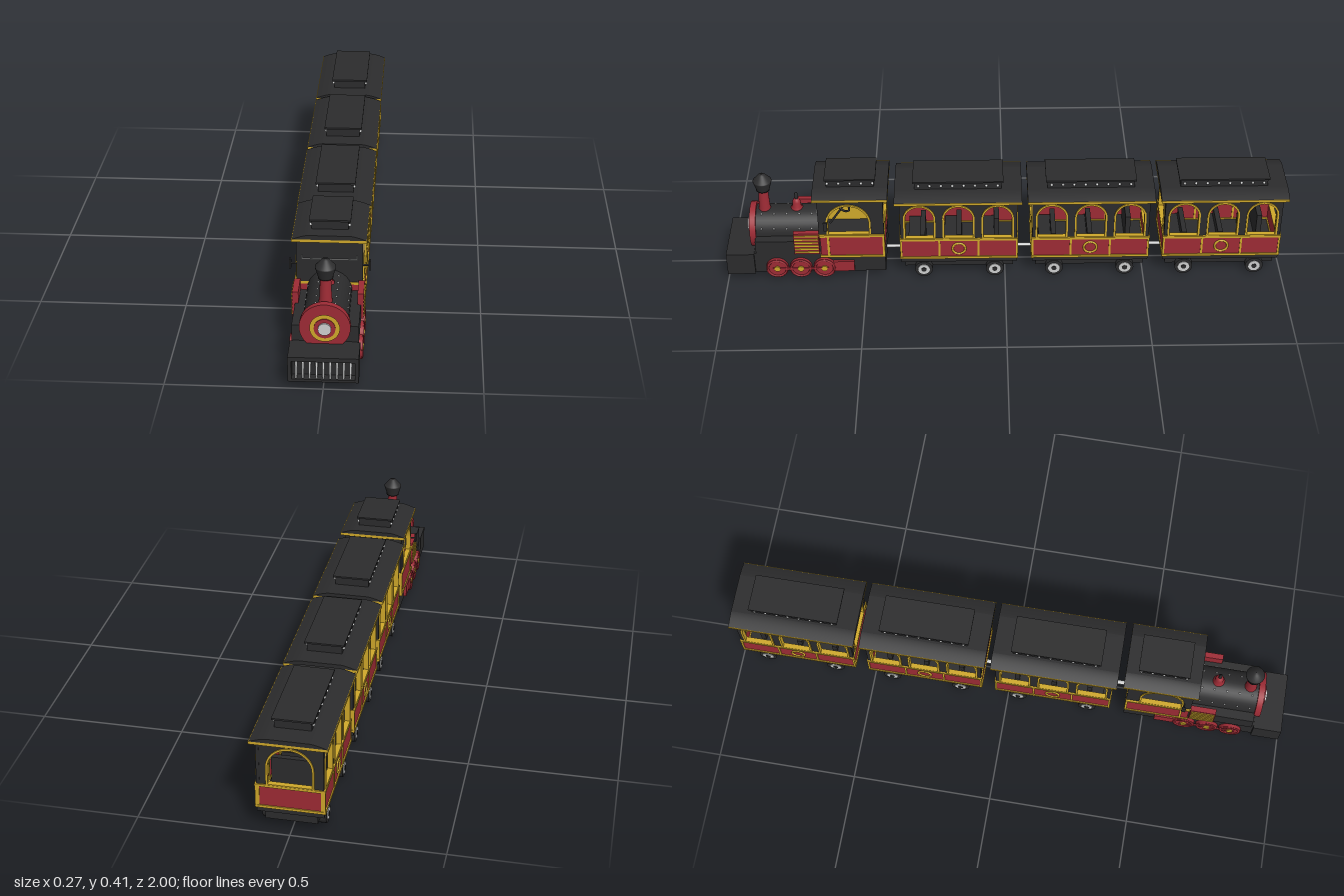
import * as THREE from 'three';

const mat = (name, color) => Object.assign(new THREE.MeshStandardMaterial({ color }), { name });
const black = mat('black', 0x2c2c2d), red = mat('red', 0x9e2b35), yellow = mat('yellow', 0xd0a92b),
  silver = mat('silver', 0xcfd0d0);

function add(parent, name, geo, material, x = 0, y = 0, z = 0) {
  const m = new THREE.Mesh(geo, material);
  m.name = name;
  m.position.set(x, y, z);
  parent.add(m);
  return m;
}
// Box given by its centre x/z, bottom and top y
function box(parent, name, material, w, d, y0, y1, x = 0, z = 0) {
  return add(parent, name, new THREE.BoxGeometry(w, y1 - y0, d), material, x, (y0 + y1) / 2, z);
}
// Disc or drum with its axis along x or z
function drum(parent, name, material, r, len, axis, x, y, z, sides = 32) {
  const g = new THREE.CylinderGeometry(r, r, len, sides);
  if (axis === 'x') g.rotateZ(Math.PI / 2); else g.rotateX(Math.PI / 2);
  return add(parent, name, g, material, x, y, z);
}
function arch(Type, c, hw, y0, top) {
  const s = new Type();
  s.moveTo(c - hw, y0);
  s.lineTo(c + hw, y0);
  s.lineTo(c + hw, top - hw);
  s.absarc(c, top - hw, hw, 0, Math.PI, false);
  s.lineTo(c - hw, y0);
  return s;
}
function extrude(shape, depth) {
  const g = new THREE.ExtrudeGeometry(shape, { depth, bevelEnabled: false, curveSegments: 16 });
  return g.translate(0, 0, -depth / 2);
}
// Wall with arched openings, each lined by a yellow frame
function archWall(parent, half, y0, y1, centres, hw, top, x, z, side) {
  const g = new THREE.Group();
  g.name = 'archedWall';
  const s = new THREE.Shape();
  s.moveTo(-half, y0); s.lineTo(half, y0); s.lineTo(half, y1); s.lineTo(-half, y1); s.closePath();
  for (const c of centres) {
    s.holes.push(arch(THREE.Path, c, hw, y0 + 0.002, top));
    const frame = arch(THREE.Shape, c, hw, y0 + 0.002, top);
    frame.holes.push(arch(THREE.Path, c, hw - 0.007, y0 + 0.006, top - 0.007));
    add(g, 'windowFrame', extrude(frame, 0.018), yellow);
  }
  add(g, 'upperWall', extrude(s, 0.01), black);
  g.position.set(x, 0, z);
  if (side) g.rotation.y = Math.PI / 2;
  parent.add(g);
}
// Vaulted roof, yellow eave and raised riveted lantern
function roof(parent, y, hw, length, lanternLength) {
  box(parent, 'eaveTrim', yellow, hw * 2, length, y, y + 0.01);
  const s = new THREE.Shape();
  s.moveTo(-hw + 0.002, y + 0.01);
  s.lineTo(hw - 0.002, y + 0.01);
  s.quadraticCurveTo(hw * 0.72, y + 0.023, 0.07, y + 0.025);
  s.lineTo(-0.07, y + 0.025);
  s.quadraticCurveTo(-hw * 0.72, y + 0.023, -hw + 0.002, y + 0.01);
  add(parent, 'roof', extrude(s, length), black);
  box(parent, 'lantern', black, 0.12, lanternLength - 0.012, y + 0.02, y + 0.055);
  box(parent, 'lanternTop', black, 0.135, lanternLength, y + 0.054, y + 0.06);
  const n = Math.round(lanternLength / 0.04);
  for (let i = 0; i < n; i++) for (const sx of [-1, 1])
    add(parent, 'lanternLamp', new THREE.SphereGeometry(0.005, 8, 6), silver,
      sx * 0.063, y + 0.04, (i - (n - 1) / 2) * 0.04);
}

function carriage(zc) {
  const g = new THREE.Group();
  g.name = 'carriage';
  g.position.z = zc;
  box(g, 'underframe', black, 0.17, 0.39, 0.035, 0.075);
  box(g, 'floor', black, 0.218, 0.416, 0.07, 0.09);
  for (const sx of [-1, 1]) {
    // Side panel with trim, badge and arched windows
    const x = sx * 0.106;
    box(g, 'sidePanel', red, 0.008, 0.416, 0.088, 0.17, x);
    for (const y of [0.086, 0.166]) box(g, 'sideTrim', yellow, 0.016, 0.422, y, y + 0.009, x);
    for (const z of [-0.207, -0.07, 0.07, 0.207]) box(g, 'trimPost', yellow, 0.014, 0.007, 0.09, 0.17, x, z);
    const ring = new THREE.TorusGeometry(0.023, 0.004, 8, 24).rotateY(Math.PI / 2);
    add(g, 'badgeRing', ring, yellow, sx * 0.111, 0.13, 0);
    archWall(g, 0.208, 0.172, 0.332, [-0.139, 0, 0.139], 0.057, 0.32, sx * 0.103, 0, true);
    // Wheels
    for (const z of [-0.128, 0.128]) {
      drum(g, 'tyre', black, 0.032, 0.024, 'x', sx * 0.092, 0.032, z);
      drum(g, 'wheelRim', silver, 0.021, 0.003, 'x', sx * 0.105, 0.032, z);
      drum(g, 'wheelHub', black, 0.009, 0.005, 'x', sx * 0.106, 0.032, z, 16);
    }
  }
  for (const sz of [-1, 1]) {
    // End panel with trim and one wide arch
    box(g, 'endPanel', red, 0.21, 0.008, 0.088, 0.17, 0, sz * 0.204);
    for (const y of [0.086, 0.166]) box(g, 'endTrim', yellow, 0.222, 0.016, y, y + 0.009, 0, sz * 0.204);
    archWall(g, 0.107, 0.172, 0.332, [0], 0.078, 0.318, 0, sz * 0.202, false);
  }
  // Benches
  for (const [z, top] of [[0.13, 0.165], [0, 0.165], [-0.135, 0.235]]) {
    box(g, 'benchSeat', black, 0.17, 0.055, 0.09, 0.13, 0, z + 0.025);
    box(g, 'benchBack', black, 0.15, 0.018, 0.09, top, 0, z);
  }
  roof(g, 0.331, 0.126, 0.45, 0.32);
  const bar = drum(g, 'coupling', silver, 0.005, 0.09, 'z', 0, 0.06, 0.235, 12);
  bar.scale.x = 1.6;
  return g;
}

function cab() {
  const g = new THREE.Group();
  g.name = 'cab';
  g.position.z = 0.545;
  box(g, 'cabFloor', black, 0.21, 0.23, 0.09, 0.105);
  for (const sx of [-1, 1]) {
    const x = sx * 0.107;
    box(g, 'cabSidePanel', red, 0.008, 0.226, 0.1, 0.19, x);
    box(g, 'cabLining', yellow, 0.004, 0.21, 0.105, 0.19, sx * 0.101);
    for (const y of [0.098, 0.188]) box(g, 'cabTrim', yellow, 0.016, 0.232, y, y + 0.009, x);
    for (const z of [-0.112, 0.085]) box(g, 'cabTrimPost', yellow, 0.014, 0.008, 0.1, 0.19, x, z);
    archWall(g, 0.115, 0.194, 0.347, [-0.01], 0.079, 0.328, sx * 0.103, 0, true);
    // Mirror on an arm
    drum(g, 'mirrorArm', black, 0.003, 0.03, 'x', sx * 0.118, 0.247, 0.09, 8);
    box(g, 'mirror', black, 0.006, 0.014, 0.23, 0.265, sx * 0.13, 0.09);
    box(g, 'railEnd', silver, 0.002, 0.003, 0.28, 0.295, sx * 0.089, 0.121);
  }
  box(g, 'cabFrontPanel', red, 0.212, 0.01, 0.1, 0.19, 0, 0.111);
  box(g, 'cabFrontTrim', yellow, 0.218, 0.016, 0.188, 0.197, 0, 0.11);
  box(g, 'cabFrontWall', black, 0.214, 0.01, 0.195, 0.347, 0, 0.112);
  box(g, 'frontRail', silver, 0.178, 0.003, 0.28, 0.282, 0, 0.121);
  box(g, 'cabRearPanel', red, 0.212, 0.008, 0.1, 0.19, 0, -0.11);
  box(g, 'cabRearTrim', yellow, 0.218, 0.014, 0.188, 0.197, 0, -0.11);
  archWall(g, 0.107, 0.194, 0.347, [0], 0.078, 0.328, 0, -0.108, false);
  // Steering column and wheel
  const column = add(g, 'steeringColumn', new THREE.CylinderGeometry(0.004, 0.004, 0.09, 8), black, 0, 0.205, 0.06);
  column.rotation.x = -0.6;
  const wheel = add(g, 'steeringWheel', new THREE.TorusGeometry(0.025, 0.004, 6, 20), black, 0, 0.242, 0.034);
  wheel.rotation.x = Math.PI / 2 - 0.6;
  roof(g, 0.346, 0.122, 0.265, 0.18);
  return g;
}

function engine() {
  const g = new THREE.Group();
  g.name = 'engine';
  box(g, 'chassis', black, 0.205, 0.5, 0.028, 0.11, 0, 0.68);
  box(g, 'runningBoard', black, 0.212, 0.235, 0.1, 0.165, 0, 0.775);
  // Front guard with slanted tapering bars
  box(g, 'guardBack', black, 0.222, 0.07, 0.025, 0.112, 0, 0.935);
  box(g, 'guardTop', black, 0.222, 0.04, 0.097, 0.112, 0, 0.98);
  box(g, 'guardFoot', black, 0.222, 0.04, 0.025, 0.034, 0, 0.98);
  for (const sx of [-1, 1]) box(g, 'guardSide', black, 0.012, 0.04, 0.03, 0.1, sx * 0.105, 0.98);
  for (let i = -4; i <= 4; i++) {
    const bar = add(g, 'guardBar', new THREE.CylinderGeometry(0.0045, 0.003, 0.068, 8), silver, i * 0.0213, 0.065, 0.985);
    bar.rotation.x = -0.2;
  }
  // Boiler and its front plate
  drum(g, 'boiler', black, 0.073, 0.25, 'z', 0, 0.168, 0.775, 40);
  drum(g, 'boilerFront', red, 0.081, 0.022, 'z', 0, 0.17, 0.901, 40);
  add(g, 'frontRing', new THREE.RingGeometry(0.034, 0.048, 40).translate(0, 0, 0.007), yellow, 0, 0.17, 0.91);
  drum(g, 'headlampBezel', red, 0.034, 0.012, 'z', 0, 0.17, 0.914);
  drum(g, 'headlamp', silver, 0.021, 0.016, 'z', 0, 0.17, 0.918, 24);
  // Rivet rows over the boiler
  for (let k = 0; k < 5; k++) for (const a of [-1.2, -0.45, 0.45, 1.2])
    add(g, 'rivet', new THREE.SphereGeometry(0.0035, 8, 6), silver,
      Math.sin(a) * 0.073, 0.168 + Math.cos(a) * 0.073, 0.69 + k * 0.045);
  // Chimney and dome
  const lathe = pts => new THREE.LatheGeometry(pts.map(p => new THREE.Vector2(...p)), 28);
  add(g, 'chimneyPipe', lathe([[0.024, 0.225], [0.02, 0.25], [0.017, 0.325]]), red, 0, 0, 0.86);
  add(g, 'chimneyCap', lathe([[0, 0.32], [0.024, 0.32], [0.024, 0.325], [0.033, 0.356], [0.033, 0.36], [0.012, 0.384], [0, 0.386]]), black, 0, 0, 0.86);
  add(g, 'dome', lathe([[0.021, 0.23], [0.021, 0.243], [0.015, 0.246], [0.015, 0.266], [0.009, 0.278], [0, 0.28]]), red, 0, 0, 0.745);
  add(g, 'domeWhistle', lathe([[0.005, 0.275], [0.006, 0.3], [0, 0.308]]), black, 0, 0, 0.745);
  for (const sx of [-1, 1]) {
    // Louvred side panel
    box(g, 'louvrePanel', red, 0.02, 0.09, 0.115, 0.205, sx * 0.105, 0.708);
    for (let i = 0; i < 6; i++) {
      const y = 0.122 + i * 0.014;
      box(g, 'louvreSlat', yellow, 0.006, 0.084, y, y + 0.006, sx * 0.115, 0.708);
    }
    // Driving wheels
    for (const z of [0.82, 0.735, 0.65]) {
      drum(g, 'drivingWheel', red, 0.04, 0.012, 'x', sx * 0.108, 0.05, z);
      const rim = new THREE.TorusGeometry(0.034, 0.004, 6, 28).rotateY(Math.PI / 2);
      add(g, 'drivingRim', rim, red, sx * 0.114, 0.05, z);
      drum(g, 'drivingHub', yellow, 0.011, 0.006, 'x', sx * 0.116, 0.05, z, 16);
    }
    box(g, 'couplingRod', red, 0.005, 0.2, 0.046, 0.054, sx * 0.115, 0.735);
    box(g, 'stepBox', red, 0.014, 0.075, 0.035, 0.077, sx * 0.106, 0.58);
  }
  return g;
}

export function createModel() {
  const train = new THREE.Group();
  train.name = 'train';
  train.add(engine(), cab());
  for (const z of [0.165, -0.305, -0.775]) train.add(carriage(z));
  return train;
}
